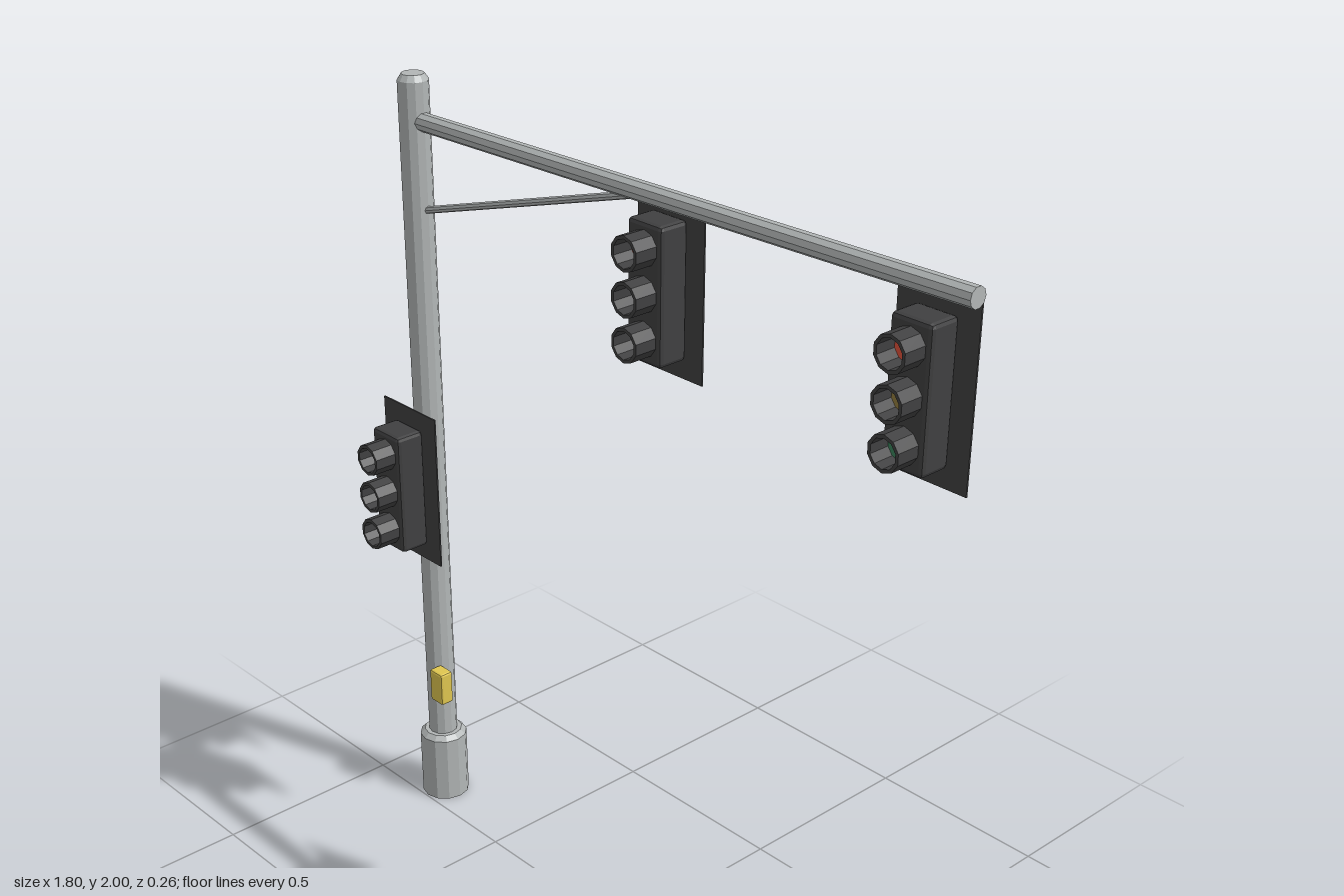
import * as THREE from 'three';
import { RoundedBoxGeometry } from 'three/addons/geometries/RoundedBoxGeometry.js';

const mat = (name, color) => {
  const m = new THREE.MeshStandardMaterial({ color });
  m.name = name;
  return m;
};

// Faceted normals for the low-poly look
function facet(geometry) {
  const g = geometry.index ? geometry.toNonIndexed() : geometry;
  g.computeVertexNormals();
  return g;
}

// Turned shape from [radius, y] pairs, listed bottom to top
const turned = (points, sides) =>
  facet(new THREE.LatheGeometry(points.map(([r, y]) => new THREE.Vector2(r, y)), sides));

function part(name, geometry, material, x = 0, y = 0, z = 0) {
  const mesh = new THREE.Mesh(geometry, material);
  mesh.name = name;
  mesh.position.set(x, y, z);
  return mesh;
}

// Straight round bar between two points
function bar(name, from, to, radius, sides, material) {
  const dir = to.clone().sub(from);
  const mesh = part(name, facet(new THREE.CylinderGeometry(radius, radius, dir.length(), sides)), material);
  mesh.position.copy(from).addScaledVector(dir, 0.5);
  mesh.quaternion.setFromUnitVectors(new THREE.Vector3(0, 1, 0), dir.normalize());
  return mesh;
}

export function createModel() {
  const metal = mat('galvanised metal', 0xb2b6b6);
  const plateBack = mat('bare plate back', 0xdadad3);
  const dark = mat('dark housing', 0x404041);
  const red = mat('red lens', 0xe2523a);
  const amber = mat('amber lens', 0x937d3e);
  const green = mat('green lens', 0x3a845c);
  const yellow = mat('yellow box', 0xdfc650);

  const model = new THREE.Group();
  model.name = 'trafficSignal';
  const px = -0.797, pz = -0.067;

  // Footing and pole with chamfered tops
  model.add(part('poleBase', turned([[0, 0], [0.063, 0], [0.063, 0.184], [0.05, 0.197], [0, 0.197]], 12), metal, px, 0, pz));
  model.add(part('pole', turned([[0, 0.19], [0.038, 0.19], [0.038, 1.985], [0.028, 2], [0, 2]], 12), metal, px, 0, pz));

  // Mast arm and its diagonal brace
  const at = (x, y) => new THREE.Vector3(x, y, pz);
  model.add(bar('mastArm', at(px, 1.889), at(0.897, 1.923), 0.023, 10, metal));
  model.add(bar('brace', at(px, 1.665), at(-0.01, 1.899), 0.009, 8, metal));

  // Push button box beside the pole
  model.add(part('buttonBox', facet(new RoundedBoxGeometry(0.05, 0.093, 0.038, 1, 0.006)), yellow, -0.743, 0.369, -0.027));

  // Shared signal head shapes
  const plate = new THREE.BoxGeometry(0.206, 0.41, 0.004);
  const plateMaterials = [dark, dark, dark, dark, dark, plateBack];
  const housing = facet(new RoundedBoxGeometry(0.106, 0.32, 0.078, 1, 0.01));
  const visor = turned([[0.033, 0], [0.041, 0], [0.041, 0.06], [0.033, 0.06], [0.033, 0]], 10).rotateX(Math.PI / 2);
  const lens = facet(new THREE.CylinderGeometry(0.034, 0.034, 0.008, 10)).rotateX(Math.PI / 2);

  function signalHead(name, x, y, z) {
    const head = new THREE.Group();
    head.name = name;
    head.position.set(x, y, z);
    head.add(part('backPlate', plate, plateMaterials, 0, 0, -0.007));
    head.add(part('housing', housing, dark, 0, 0, 0.034));
    [['red', red], ['amber', amber], ['green', green]].forEach(([label, material], i) => {
      const ly = 0.103 * (1 - i);
      head.add(part(label + 'Visor', visor, dark, 0, ly, 0.071));
      head.add(part(label + 'Lens', lens, material, 0, ly, 0.075));
    });
    model.add(head);
  }

  signalHead('poleSignal', px + 0.002, 0.961, 0);
  signalHead('innerArmSignal', 0.036, 1.697, -0.104);
  signalHead('outerArmSignal', 0.773, 1.697, -0.104);

  return model;
}
